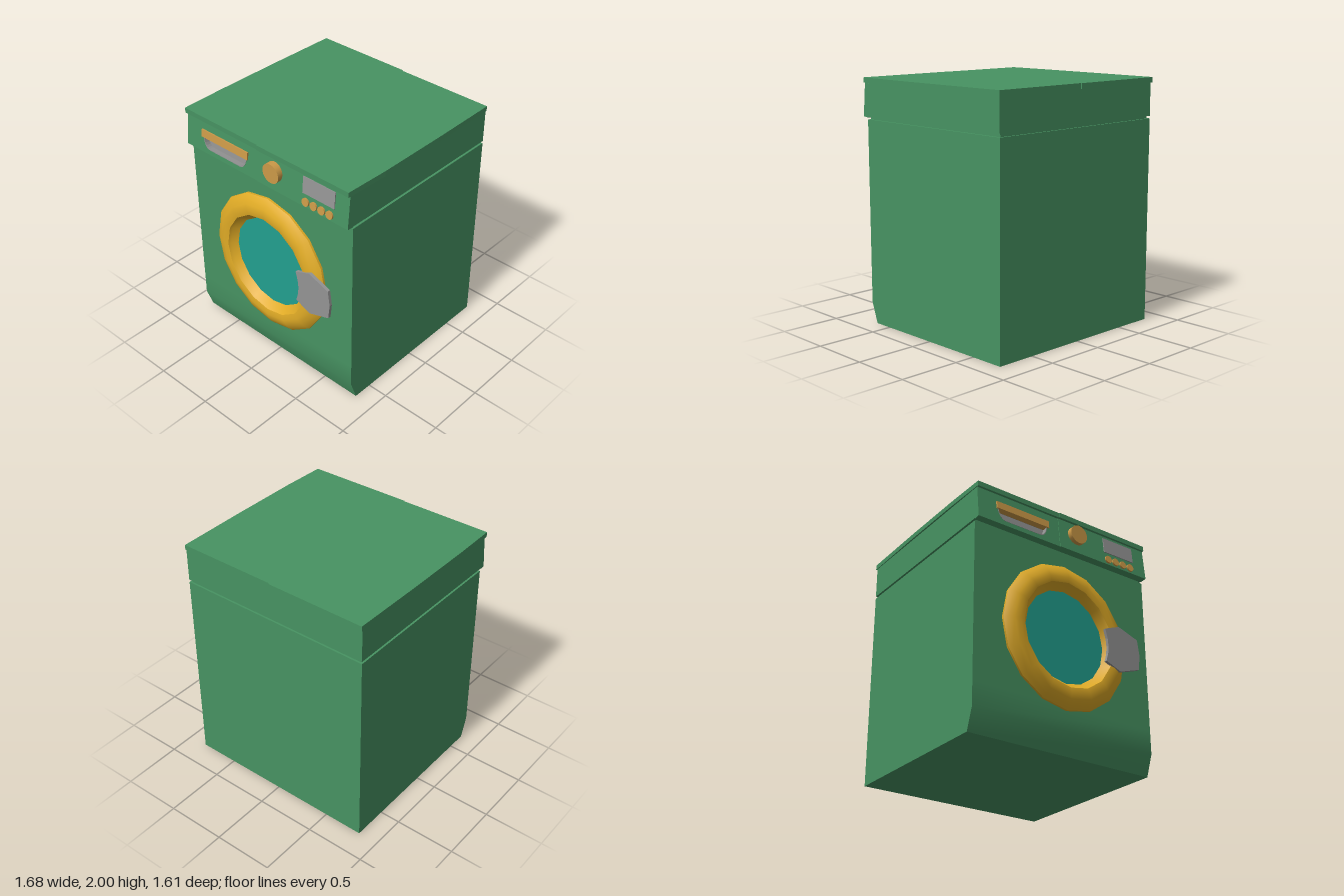
import * as THREE from 'three';
import { toCreasedNormals } from 'three/addons/utils/BufferGeometryUtils.js';

const mat = (name, color) => {
  const m = new THREE.MeshStandardMaterial({ color });
  m.name = name;
  return m;
};

const toShape = (pts) => new THREE.Shape(pts.map(([x, y]) => new THREE.Vector2(x, y)));
const extrude = (shape, depth) =>
  new THREE.ExtrudeGeometry(shape, { depth, bevelEnabled: false, curveSegments: 6 });

// Side profile given as [z, y], swept across the width and centred on x
function sweepAcross(profile, width) {
  const geo = extrude(toShape(profile), width);
  geo.rotateY(-Math.PI / 2).translate(width / 2, 0, 0);
  return toCreasedNormals(geo, 0.6);
}

export function createModel() {
  const green = mat('green enamel', 0x479362);
  const yellow = mat('yellow door', 0xe0ab26);
  const orange = mat('orange controls', 0xcc9a48);
  const teal = mat('teal glass', 0x22a08f);
  const grey = mat('grey plastic', 0x949494);

  const model = new THREE.Group();
  model.name = 'washingMachine';
  const add = (name, geo, material, x = 0, y = 0, z = 0, parent = model) => {
    const mesh = new THREE.Mesh(geo, material);
    mesh.name = name;
    mesh.position.set(x, y, z);
    parent.add(mesh);
    return mesh;
  };

  // Cabinet with a soft toe kick at the front
  add('cabinet', sweepAcross([
    [-0.79, 0], [0.66, 0], [0.72, 0.17], [0.72, 0.36], [0.72, 1.67], [-0.79, 1.67],
  ], 1.66), green);
  add('shadowGap', new THREE.BoxGeometry(1.62, 0.04, 1.48), green, 0, 1.68, -0.035);

  // Upper section behind the sloping fascia
  add('upperSection', sweepAcross([
    [-0.79, 1.69], [0.723, 1.69], [0.698, 1.965], [-0.79, 1.965],
  ], 1.66), green);

  // Lid with slightly bowed sides; the back lip overhangs on one half only
  const lid = extrude(toShape([
    [-0.835, -0.765], [-0.06, -0.765], [-0.06, -0.772], [0.83, -0.768],
    [0.842, -0.4], [0.842, 0.2], [0.835, 0.795], [0, 0.795], [0, 0.805],
    [-0.835, 0.805], [-0.842, 0.2], [-0.842, -0.4],
  ]), 0.042);
  lid.rotateX(-Math.PI / 2);
  add('lid', lid, green, 0, 1.958, 0);

  // Sloping fascia; its children use the panel's own plane
  const fascia = new THREE.Group();
  fascia.name = 'fascia';
  fascia.position.set(0, 1.69, 0.773);
  fascia.rotation.x = -0.0923;
  model.add(fascia);

  const cup = (inset) => {
    const l = -0.65 + inset, r = -0.18 - inset, b = 0.04 + inset, t = 0.135;
    const s = new THREE.Shape();
    s.moveTo(l, t);
    s.quadraticCurveTo(l + 0.015, b, l + 0.075, b);
    s.lineTo(r - 0.075, b);
    s.quadraticCurveTo(r - 0.015, b, r, t);
    s.closePath();
    return s;
  };

  const drawer = toShape([[-0.83, 0], [-0.06, 0], [-0.06, 0.271], [-0.83, 0.271]]);
  drawer.holes.push(cup(0));
  add('drawerFront', extrude(drawer, 0.052), green, 0, 0, -0.055, fascia);

  const liner = cup(0);
  liner.holes.push(cup(0.006));
  add('drawerCupRim', extrude(liner, 0.052), grey, 0, 0, -0.053, fascia);
  add('drawerCupFloor', extrude(cup(0), 0.008), grey, 0, 0, -0.053, fascia);
  add('drawerHandle', new THREE.BoxGeometry(0.495, 0.062, 0.05), orange, -0.413, 0.163, -0.015, fascia);

  const control = toShape([[-0.06, 0], [0.83, 0], [0.83, 0.271], [-0.06, 0.271]]);
  add('controlPanel', extrude(control, 0.056), green, 0, 0, -0.055, fascia);
  add('display', new THREE.BoxGeometry(0.305, 0.135, 0.008), grey, 0.548, 0.178, 0.004, fascia);

  const disc = (r, depth, sides) => {
    const g = new THREE.CylinderGeometry(r, r, depth, sides);
    g.rotateX(Math.PI / 2);
    return g;
  };
  for (let i = 0; i < 4; i++) {
    add('button' + (i + 1), disc(0.033, 0.016, 14), orange, 0.43 + i * 0.0765, 0.045, 0.006, fascia);
  }
  add('programKnob', disc(0.08, 0.06, 20), orange, 0.11, 1.845, 0.773);

  // Door: a sixteen-sided ring, slightly taller than wide, around the glass
  const door = new THREE.Group();
  door.name = 'door';
  door.position.set(0, 0.935, 0);
  door.scale.x = 0.96;
  model.add(door);
  const ringProfile = [
    [0.605, 0.71], [0.605, 0.738], [0.575, 0.763], [0.53, 0.785],
    [0.485, 0.795], [0.44, 0.787], [0.425, 0.765], [0.385, 0.722],
  ].map(([r, z]) => new THREE.Vector2(r, z));
  const ring = new THREE.LatheGeometry(ringProfile, 16);
  ring.rotateX(Math.PI / 2);
  const ringMaterial = yellow;
  ringMaterial.side = THREE.DoubleSide;
  // Profile runs from outside to inside, so flip the faces outward
  const index = ring.index.array;
  for (let i = 0; i < index.length; i += 3) {
    const a = index[i];
    index[i] = index[i + 1];
    index[i + 1] = a;
  }
  const n = ring.attributes.normal;
  const p = ring.attributes.position;
  const probe = Math.hypot(p.getX(0), p.getY(0));
  const outward = (p.getX(0) * n.getX(0) + p.getY(0) * n.getY(0)) / probe;
  if (outward > 0) {
    // Faces already pointed outward: restore the order
    for (let i = 0; i < index.length; i += 3) {
      const a = index[i];
      index[i] = index[i + 1];
      index[i + 1] = a;
    }
  }
  add('doorRing', toCreasedNormals(ring, 0.75), ringMaterial, 0, 0, 0, door);
  const glass = new THREE.CircleGeometry(0.39, 16);
  glass.rotateZ(Math.PI / 2);
  add('doorGlass', glass, teal, 0, 0, 0.7235, door);

  // Door latch plate
  add('doorLatch', extrude(toShape([
    [0.34, 0.8], [0.48, 0.745], [0.67, 0.81], [0.685, 0.935], [0.667, 1.065],
    [0.48, 1.13], [0.34, 1.075], [0.36, 1.0], [0.366, 0.935], [0.36, 0.87],
  ]), 0.025), grey, 0, 0, 0.779);

  return model;
}
